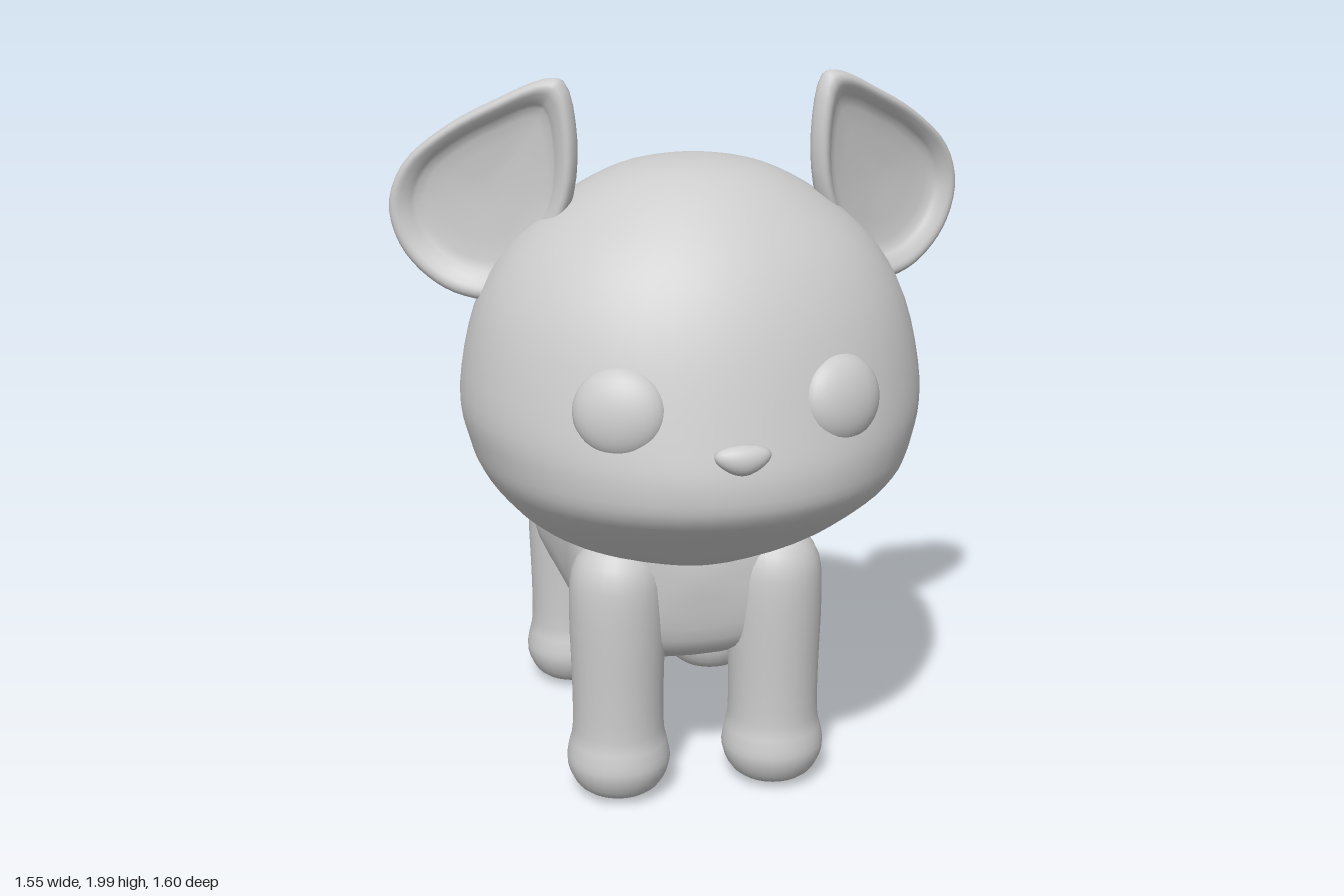
import * as THREE from 'three';
import { mergeVertices } from 'three/addons/utils/BufferGeometryUtils.js';

const clay = new THREE.MeshStandardMaterial({ color: 0xcccccc });
clay.name = 'light grey clay';

// Smoothly resample rows of numbers, column by column
function smoothRows(rows, count) {
  const columns = rows[0].map((_, c) =>
    new THREE.CatmullRomCurve3(rows.map((r) => new THREE.Vector3(r[c], 0, 0)), false, 'catmullrom', 0.5));
  return Array.from({ length: count + 1 }, (_, i) => columns.map((k) => k.getPoint(i / count).x));
}

// Skin a list of closed rings of Vector3 points
function loft(rings) {
  const n = rings[0].length;
  const index = [];
  for (let i = 0; i < rings.length - 1; i++) {
    for (let j = 0; j < n; j++) {
      const k = (j + 1) % n;
      const a = i * n + j, b = i * n + k, c = (i + 1) * n + k, d = (i + 1) * n + j;
      index.push(a, b, c, a, c, d);
    }
  }
  let geo = new THREE.BufferGeometry().setFromPoints(rings.flat());
  geo.setIndex(index);
  geo = mergeVertices(geo, 1e-4);
  geo.computeVertexNormals();
  return geo;
}

function ringAngles(n) {
  return Array.from({ length: n }, (_, j) => (j / n) * Math.PI * 2);
}

// Head: horizontal rings of height, half width, front z, back z
function headGeometry() {
  const zc = 0.2;
  const rows = smoothRows([
    [0.685, 0, zc, zc], [0.70, 0.13, 0.36, 0.05], [0.75, 0.33, 0.47, -0.1],
    [0.83, 0.46, 0.59, -0.2], [0.95, 0.56, 0.755, -0.265], [1.05, 0.6, 0.785, -0.295],
    [1.18, 0.62, 0.755, -0.31], [1.4, 0.575, 0.685, -0.28], [1.56, 0.48, 0.6, -0.19],
    [1.68, 0.34, 0.49, -0.08], [1.75, 0.21, 0.39, 0.02], [1.778, 0.09, 0.29, 0.12], [1.783, 0, zc, zc],
  ], 48);
  return loft(rows.map(([y, w, zf, zb]) => ringAngles(48).map((t) => {
    const c = Math.cos(t);
    return new THREE.Vector3(w * Math.sin(t), y, zc + c * (c > 0 ? zf - zc : zc - zb));
  })));
}

// Body: upright rings of z, half width, bottom y, top y
function bodyGeometry() {
  const rows = smoothRows([
    [-0.70, 0, 0.66, 0.66], [-0.685, 0.12, 0.55, 0.74], [-0.64, 0.26, 0.45, 0.8],
    [-0.54, 0.345, 0.37, 0.855], [-0.4, 0.345, 0.345, 0.89], [-0.25, 0.335, 0.335, 0.92],
    [0, 0.325, 0.335, 0.94], [0.15, 0.33, 0.345, 0.92], [0.28, 0.32, 0.4, 0.88],
    [0.35, 0.25, 0.47, 0.82], [0.375, 0, 0.66, 0.66],
  ], 40);
  const round = (v) => Math.sign(v) * Math.abs(v) ** 0.8;
  return loft(rows.map(([z, w, y0, y1]) => ringAngles(40).map((t) => new THREE.Vector3(
    w * round(Math.cos(t)), (y0 + y1) / 2 + ((y1 - y0) / 2) * round(Math.sin(t)), z))));
}

// Ear: dished plate leaning back toward its outer edge
function earGeometry(side) {
  const outline = new THREE.CatmullRomCurve3([
    [0.34, 1.99], [0.31, 1.86], [0.325, 1.68], [0.4, 1.53], [0.5, 1.42], [0.6, 1.425],
    [0.68, 1.47], [0.745, 1.55], [0.77, 1.66], [0.73, 1.77], [0.62, 1.87], [0.5, 1.94], [0.38, 1.995],
  ].map(([x, y]) => new THREE.Vector3(x, y, 0)), true, 'centripetal').getPoints(48).slice(0, -1);
  // scale of the outline and offset along the plate normal, from back to front
  const layers = smoothRows([
    [0, -0.045], [0.55, -0.045], [0.85, -0.035], [0.97, -0.015], [1, 0.005],
    [0.97, 0.03], [0.9, 0.036], [0.8, 0.02], [0.65, -0.005], [0, -0.018],
  ], 27);
  const rings = layers.map(([s, d]) => {
    const ring = outline.map((p) => {
      const x = 0.53 + (p.x - 0.53) * s, y = 1.7 + (p.y - 1.7) * s;
      return new THREE.Vector3(side * (x + 0.43 * d), y, 0.25 - 0.46 * (x - 0.33) + 0.9 * d);
    });
    return side < 0 ? ring.reverse() : ring;
  });
  return loft(rings);
}

// Leg: turned shaft with a swollen rounded foot
function legGeometry() {
  const profile = smoothRows([
    [0, 0.008], [0.06, 0.012], [0.115, 0.04], [0.143, 0.1], [0.138, 0.155], [0.127, 0.21],
    [0.127, 0.35], [0.132, 0.55], [0.122, 0.68], [0.07, 0.75], [0, 0.77],
  ], 30).map(([r, y]) => new THREE.Vector2(Math.max(r, 0), y));
  return new THREE.LatheGeometry(profile, 28);
}

// Nose: ball narrowed toward its lower edge
function noseGeometry() {
  const geo = new THREE.SphereGeometry(1, 24, 16);
  const p = geo.attributes.position;
  for (let i = 0; i < p.count; i++) {
    const y = p.getY(i);
    p.setXYZ(i, p.getX(i) * 0.068 * (1 + 0.35 * y), y * 0.039, p.getZ(i) * 0.032);
  }
  geo.computeVertexNormals();
  return geo;
}

export function createModel() {
  const model = new THREE.Group();
  model.name = 'puppy';
  const add = (name, geo, x = 0, y = 0, z = 0) => {
    const mesh = new THREE.Mesh(geo, clay);
    mesh.name = name;
    mesh.position.set(x, y, z);
    model.add(mesh);
    return mesh;
  };

  add('head', headGeometry());
  add('body', bodyGeometry());
  add('nose', noseGeometry(), 0, 1.135, 0.772);
  add('tail', new THREE.SphereGeometry(0.108, 28, 20), 0, 0.78, -0.692);

  const leg = legGeometry();
  for (const [side, label] of [[1, 'left'], [-1, 'right']]) {
    add(label + 'Ear', earGeometry(side));
    add(label + 'FrontLeg', leg, side * 0.222, 0, 0.278);
    add(label + 'HindLeg', leg, side * 0.222, 0, -0.492);
    // Eye: shallow bulge on the face
    const eye = add(label + 'Eye', new THREE.SphereGeometry(1, 28, 20), side * 0.282, 1.24, 0.652);
    eye.scale.set(0.118, 0.112, 0.058);
    eye.rotation.set(-0.18, side * 0.42, 0, 'YXZ');
  }
  return model;
}
